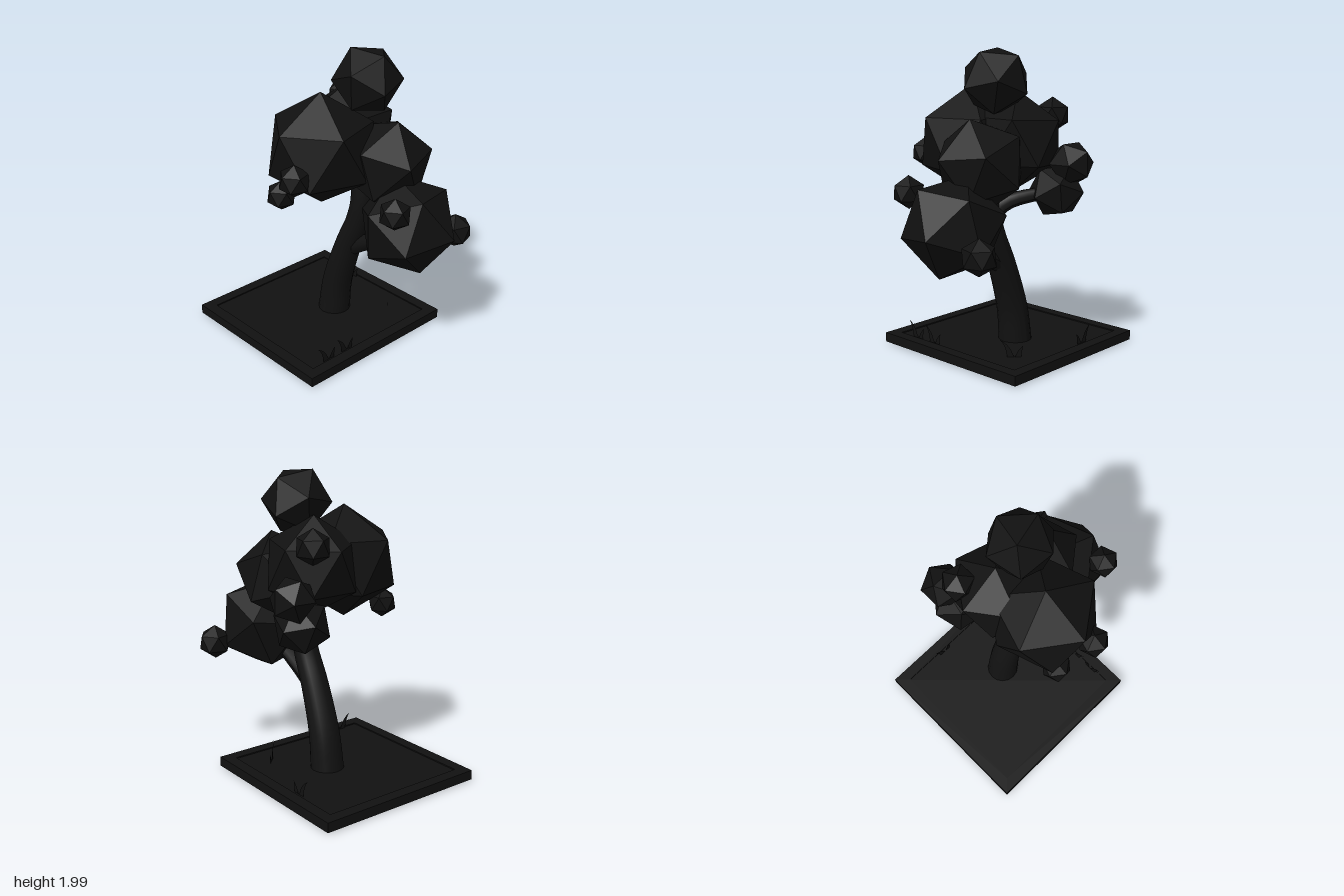
import * as THREE from 'three';

const V = (p) => new THREE.Vector3(...p);
const COLOR = 0x111111;
const faceted = new THREE.MeshStandardMaterial({ color: COLOR, flatShading: true });
const smooth = new THREE.MeshStandardMaterial({ color: COLOR, side: THREE.DoubleSide });

function add(parent, name, geometry, material) {
  const mesh = new THREE.Mesh(geometry, material);
  mesh.name = name;
  parent.add(mesh);
  return mesh;
}

// Leaf clump: an icosahedron turned so two neighbouring corners point along a and b
function clump(parent, name, centre, r, a = [0, 1, 0], b = [-0.894, 0.447, 0]) {
  const va = V(a).normalize(), vb = V(b).normalize();
  const y = va.clone().add(vb).normalize();
  const x = vb.clone().sub(va).normalize();
  const z = x.clone().cross(y);
  const mesh = add(parent, name, new THREE.IcosahedronGeometry(r, 0), faceted);
  mesh.quaternion.setFromRotationMatrix(new THREE.Matrix4().makeBasis(x, y, z));
  mesh.position.set(...centre);
}

// Tube along a curve whose radius runs from r0 to r1
function taperedTube(points, r0, r1, steps, sides) {
  const curve = new THREE.CatmullRomCurve3(points.map(V));
  const geo = new THREE.TubeGeometry(curve, steps, 1, sides);
  const pos = geo.attributes.position;
  const p = new THREE.Vector3();
  for (let i = 0; i < pos.count; i++) {
    const t = Math.floor(i / (sides + 1)) / steps;
    const c = curve.getPointAt(t);
    p.fromBufferAttribute(pos, i).sub(c).multiplyScalar(r0 + (r1 - r0) * t).add(c);
    pos.setXYZ(i, p.x, p.y, p.z);
  }
  geo.computeVertexNormals();
  return geo;
}

// Curved, pointed grass blade in the xy plane
function blade(base, tipX, tipY) {
  const s = new THREE.Shape();
  const w = 0.022;
  s.moveTo(base - w, 0.01);
  s.quadraticCurveTo(base - w + (tipX < 0 ? 0 : 0.01), tipY * 0.75, tipX, tipY);
  s.quadraticCurveTo(base + w + (tipX < 0 ? 0 : 0.01), tipY * 0.75, base + w, 0.01);
  return new THREE.ShapeGeometry(s, 8);
}

function grassTuft(x, z, yaw, flip = 1) {
  const tuft = new THREE.Group();
  tuft.name = 'grassTuft';
  add(tuft, 'tallBlade', blade(-0.01, -0.08, 0.185), smooth);
  add(tuft, 'shortBlade', blade(0.025, 0.065, 0.145), smooth);
  add(tuft, 'stubBlade', blade(0.005, -0.015, 0.1), smooth);
  tuft.position.set(x, 0, z);
  tuft.rotation.y = yaw;
  tuft.scale.x = flip;
  return tuft;
}

export function createModel() {
  const model = new THREE.Group();
  model.name = 'tree';

  // Square ground slab with a raised rim
  const rim = new THREE.Shape();
  const square = (path, h) => {
    path.moveTo(-h, -h);
    path.lineTo(h, -h);
    path.lineTo(h, h);
    path.lineTo(-h, h);
    path.closePath();
    return path;
  };
  square(rim, 0.592);
  rim.holes.push(square(new THREE.Path(), 0.515));
  const rimGeo = new THREE.ExtrudeGeometry(rim, { depth: 0.064, bevelEnabled: false });
  rimGeo.rotateX(-Math.PI / 2);
  const ground = new THREE.Group();
  ground.name = 'ground';
  add(ground, 'groundRim', rimGeo, faceted).position.y = 0.016;
  add(ground, 'groundPlate', new THREE.BoxGeometry(1.04, 0.05, 1.04), faceted).position.y = 0.047;
  ground.position.set(-0.005, 0, -0.2);
  model.add(ground);

  // Leaning trunk and its two branches
  add(model, 'trunk', taperedTube([
    [0.098, 0.05, -0.155], [0.098, 0.3, -0.12], [0.098, 0.62, -0.015],
    [0.1, 0.83, 0.075], [0.1, 1.0, 0.115], [0.1, 1.25, 0.1],
  ], 0.111, 0.068, 24, 16), smooth);
  add(model, 'frontBranch', taperedTube(
    [[0.1, 0.6, -0.02], [0.105, 0.69, 0.13], [0.12, 0.82, 0.36]], 0.065, 0.045, 8, 10), smooth);
  add(model, 'backBranch', taperedTube(
    [[0.1, 0.93, 0.1], [0.17, 1.03, 0.02], [0.36, 1.1, -0.22]], 0.055, 0.04, 8, 10), smooth);

  // Large leaf clumps
  const foliage = new THREE.Group();
  foliage.name = 'foliage';
  model.add(foliage);
  clump(foliage, 'crownClump', [0.15, 1.805, 0.097], 0.227, [-0.065, 0.195, -0.092], [0, 0.17, 0.146]);
  clump(foliage, 'rightClump', [-0.155, 1.4, 0], 0.37);
  clump(foliage, 'lowFrontClump', [0.15, 0.94, 0.47], 0.33, [0, -0.3, 0.12], [0.09, -0.03, 0.315]);
  clump(foliage, 'frontClump', [0.17, 1.3, 0.25], 0.302, [0, 0.285, 0.105], [-0.08, 0.05, 0.295]);
  clump(foliage, 'backClump', [0.16, 1.42, -0.08], 0.32, [0, 0.315, -0.025], [0, 0.14, -0.295]);

  // Small leaf clumps
  clump(foliage, 'leftClump', [0.455, 1.28, -0.28], 0.15, [0.12, 0.08, 0], [0.135, -0.08, 0]);
  clump(foliage, 'leftLowClump', [0.365, 1.1, -0.245], 0.185, [0.03, 0.02, -0.17], [0.05, -0.13, -0.11]);
  const small = [
    [[0.3, 1.58, -0.275], 0.115, [0, 1, 0], [0, 0.447, -0.894]],
    [[-0.47, 1.31, 0.11], 0.105],
    [[-0.385, 1.11, -0.12], 0.1],
    [[-0.105, 1.14, 0.6], 0.105],
    [[0.48, 0.825, 0.59], 0.115, [0, 1, 0], [0.894, 0.447, 0]],
  ];
  for (const args of small) clump(foliage, 'smallClump', ...args);

  // Grass tufts
  model.add(
    grassTuft(-0.38, 0.3, 0),
    grassTuft(-0.22, 0.3, 0),
    grassTuft(0.34, 0.14, Math.PI / 4),
    grassTuft(0.49, -0.385, -Math.PI / 2),
  );
  return model;
}
